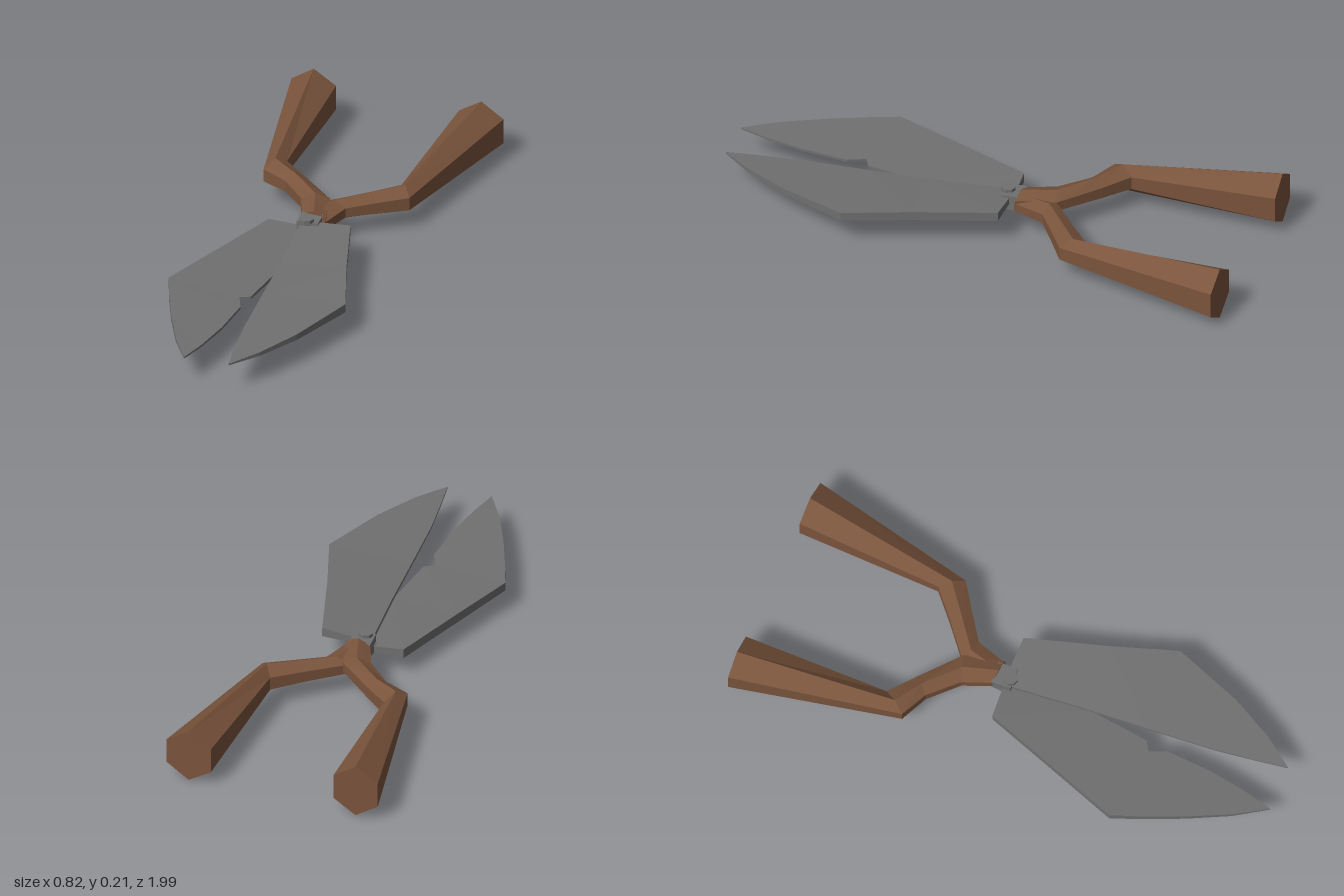
import * as THREE from 'three';

const wood = new THREE.MeshStandardMaterial({ color: 0x7a543c, flatShading: true });
wood.name = 'brown wood';
const steel = new THREE.MeshStandardMaterial({ color: 0x707070, flatShading: true });
steel.name = 'grey steel';

// Closed loft through rings of points, with flat faces and capped ends
function loft(rings) {
  const tris = [];
  const n = rings[0].length;
  for (let i = 0; i + 1 < rings.length; i++) {
    for (let j = 0; j < n; j++) {
      const k = (j + 1) % n;
      const a = rings[i][j], b = rings[i][k], c = rings[i + 1][k], d = rings[i + 1][j];
      tris.push([a, b, c], [a, c, d]);
    }
  }
  const last = rings[rings.length - 1];
  for (let j = 1; j + 1 < n; j++) {
    tris.push([rings[0][0], rings[0][j + 1], rings[0][j]], [last[0], last[j], last[j + 1]]);
  }
  // Turn every face outward
  let volume = 0;
  const cross = new THREE.Vector3();
  for (const [a, b, c] of tris) volume += a.dot(cross.crossVectors(b, c));
  const points = tris.flatMap(([a, b, c]) => (volume > 0 ? [a, b, c] : [a, c, b]));
  const geometry = new THREE.BufferGeometry().setFromPoints(points);
  geometry.computeVertexNormals();
  return geometry;
}

function add(group, name, geometry, material) {
  const mesh = new THREE.Mesh(geometry, material);
  mesh.name = name;
  group.add(mesh);
  return mesh;
}

// Section: outer x, z, inner x, z, centre y, half height; hexagon with a ridge above and below
function handle(sections) {
  return loft(sections.map(([xo, zo, xi, zi, y, h]) => {
    const xm = (xo + xi) / 2, zm = (zo + zi) / 2, s = h * 0.47;
    return [
      [xo, y + s, zo], [xm, y + h, zm], [xi, y + s, zi],
      [xi, y - s, zi], [xm, y - h, zm], [xo, y - s, zo],
    ].map((p) => new THREE.Vector3(...p));
  }));
}

// Section: outer x, z, inner x, z, then outer bottom, top and inner bottom, top heights
function blade(sections) {
  return loft(sections.map(([xo, zo, xi, zi, ob, ot, ib, it]) => [
    [xo, ob, zo], [xo, ot, zo], [xi, it, zi], [xi, ib, zi],
  ].map((p) => new THREE.Vector3(...p))));
}

export function createModel() {
  const model = new THREE.Group();
  model.name = 'gardenShears';

  // Handles crossing at the pivot
  add(model, 'rightHandle', handle([
    [-0.41, -1, -0.24, -1, 0.111, 0.104],
    [-0.295, -0.37, -0.235, -0.455, 0.113, 0.054],
    [-0.195, -0.32, -0.14, -0.375, 0.113, 0.046],
    [-0.1, -0.22, 0, -0.25, 0.116, 0.039],
    [-0.06, -0.115, 0.035, -0.105, 0.117, 0.036],
  ]), wood);
  add(model, 'leftHandle', handle([
    [0.408, -0.975, 0.235, -0.985, 0.106, 0.104],
    [0.267, -0.352, 0.208, -0.435, 0.107, 0.054],
    [0.165, -0.285, 0.11, -0.35, 0.106, 0.046],
    [0.07, -0.22, -0.02, -0.245, 0.104, 0.039],
    [0.032, -0.1, -0.05, -0.112, 0.102, 0.036],
  ]), wood);

  // Upper blade
  add(model, 'leftBlade', blade([
    [0.14, -0.075, -0.047, -0.08, 0.106, 0.142, 0.107, 0.125],
    [0.228, 0.22, -0.02, 0.23, 0.103, 0.138, 0.107, 0.12],
    [0.31, 0.465, -0.005, 0.465, 0.1, 0.133, 0.107, 0.118],
    [0.215, 0.72, 0.012, 0.72, 0.103, 0.126, 0.108, 0.117],
    [0.13, 0.88, 0.032, 0.88, 0.106, 0.121, 0.109, 0.117],
    [0.05, 0.99, 0.048, 0.99, 0.11, 0.116, 0.11, 0.116],
  ]), steel);

  // Lower blade with the notch in its cutting edge
  add(model, 'rightBlade', blade([
    [-0.17, -0.07, 0.005, -0.08, 0.078, 0.115, 0.085, 0.104],
    [-0.275, 0.22, -0.015, 0.25, 0.081, 0.117, 0.092, 0.105],
    [-0.365, 0.465, -0.045, 0.48, 0.085, 0.118, 0.096, 0.107],
    [-0.355, 0.49, -0.082, 0.5, 0.086, 0.118, 0.096, 0.108],
    [-0.332, 0.555, -0.055, 0.565, 0.089, 0.118, 0.098, 0.108],
    [-0.265, 0.72, -0.067, 0.735, 0.094, 0.117, 0.1, 0.11],
    [-0.195, 0.87, -0.092, 0.88, 0.1, 0.116, 0.103, 0.111],
    [-0.122, 0.99, -0.12, 0.99, 0.107, 0.113, 0.107, 0.113],
  ]), steel);

  // Tangs joining the blades to the handles
  for (const [name, y, turn] of [['upperTang', 0.125, 0.06], ['lowerTang', 0.095, -0.06]]) {
    const tang = add(model, name, new THREE.BoxGeometry(0.08, 0.03, 0.075), steel);
    tang.position.set(-0.018, y, -0.085);
    tang.rotation.y = turn;
  }

  // Pivot bolt with a head on each side
  const pivot = new THREE.Group();
  pivot.name = 'pivotBolt';
  pivot.position.set(-0.022, 0.111, -0.06);
  add(pivot, 'boltShaft', new THREE.CylinderGeometry(0.018, 0.018, 0.07, 8), steel);
  for (const side of [-1, 1]) {
    add(pivot, side > 0 ? 'topHead' : 'bottomHead',
      new THREE.CylinderGeometry(0.028, 0.028, 0.014, 8), steel).position.y = side * 0.034;
  }
  model.add(pivot);
  return model;
}
